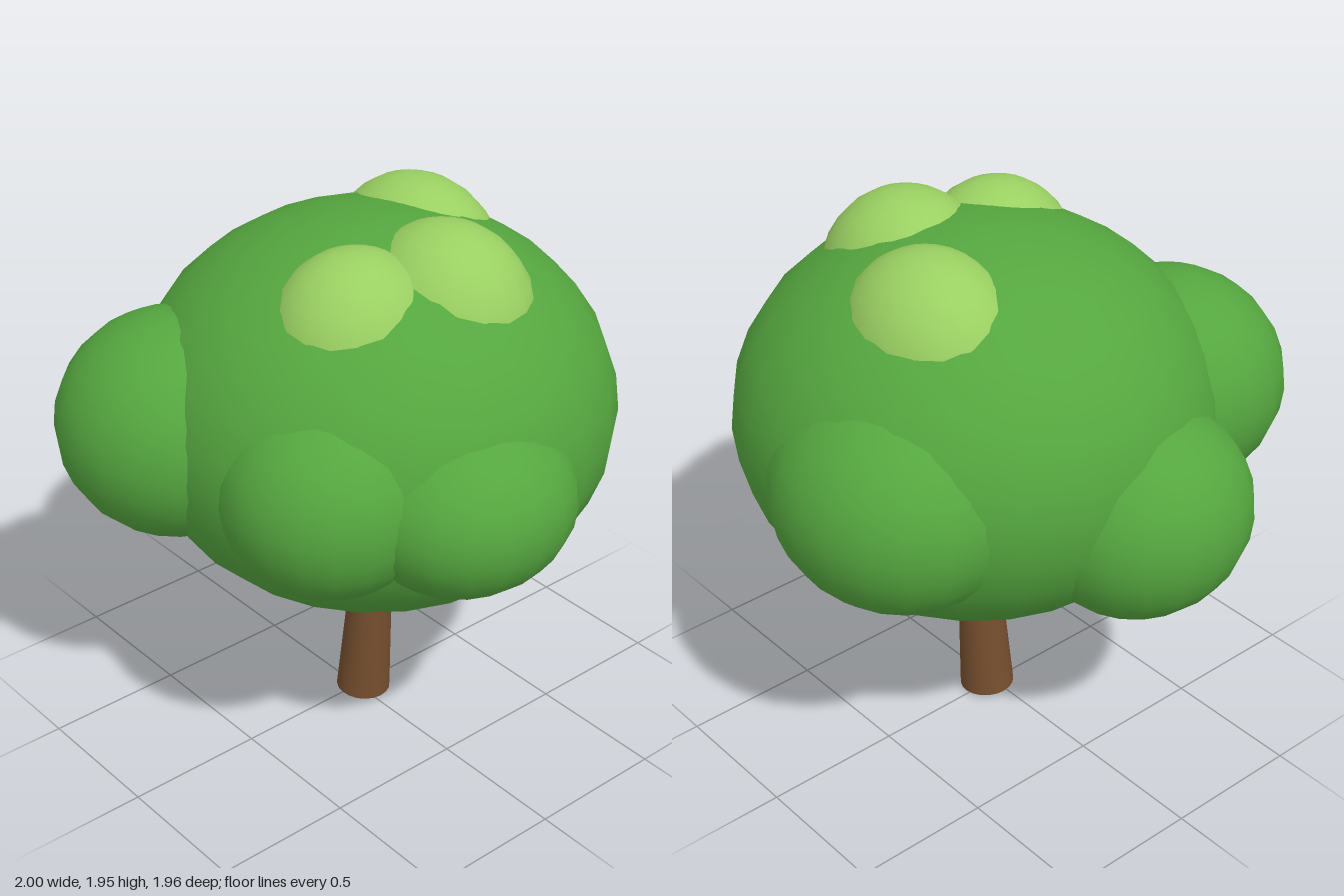
import * as THREE from 'three';

export function createModel() {
  const tree = new THREE.Group();
  tree.name = 'tree';

  const material = (name, color) => {
    const m = new THREE.MeshStandardMaterial({ color });
    m.name = name;
    return m;
  };
  const leafGreen = material('leafGreen', 0x55a63f);
  const lightGreen = material('lightGreen', 0x9ad062);
  const barkBrown = material('barkBrown', 0x754e2e);

  // Rounded clump of leaves: centre and radii
  const clump = (name, mat, [x, y, z], [rx, ry, rz], w = 20, h = 14) => {
    const geo = new THREE.SphereGeometry(1, w, h);
    const mesh = new THREE.Mesh(geo, mat);
    mesh.name = name;
    mesh.position.set(x, y, z);
    mesh.scale.set(rx, ry, rz);
    tree.add(mesh);
  };

  // Main crown
  clump('crown', leafGreen, [0.03, 1.225, -0.05], [0.84, 0.685, 0.84], 24, 16);

  // Side clumps
  clump('frontRightClump', leafGreen, [-0.27, 1.24, 0.57], [0.415, 0.39, 0.41]);
  clump('frontLeftClump', leafGreen, [0.37, 1.205, 0.43], [0.37, 0.35, 0.37]);
  clump('leftClump', leafGreen, [0.64, 1.17, 0.09], [0.36, 0.31, 0.39]);
  clump('rightClump', leafGreen, [-0.62, 1.07, 0.1], [0.38, 0.37, 0.4]);
  clump('backClump', leafGreen, [-0.18, 1.2, -0.56], [0.45, 0.39, 0.42]);

  // Sunlit clumps on top
  clump('backTopClump', lightGreen, [-0.08, 1.6, -0.33], [0.34, 0.34, 0.29]);
  clump('leftTopClump', lightGreen, [0.3, 1.62, -0.12], [0.32, 0.335, 0.3]);
  clump('frontTopClump', lightGreen, [0.22, 1.6, 0.2], [0.28, 0.325, 0.3]);

  // Tapered trunk, leaning slightly
  const length = 0.9;
  const trunkGeo = new THREE.CylinderGeometry(0.058, 0.099, length, 20);
  trunkGeo.translate(0, length / 2, 0);
  const trunk = new THREE.Mesh(trunkGeo, barkBrown);
  trunk.name = 'trunk';
  trunk.position.set(0.01, 0.009, -0.022);
  trunk.rotation.set(-0.025, 0, -0.06);
  tree.add(trunk);

  return tree;
}
